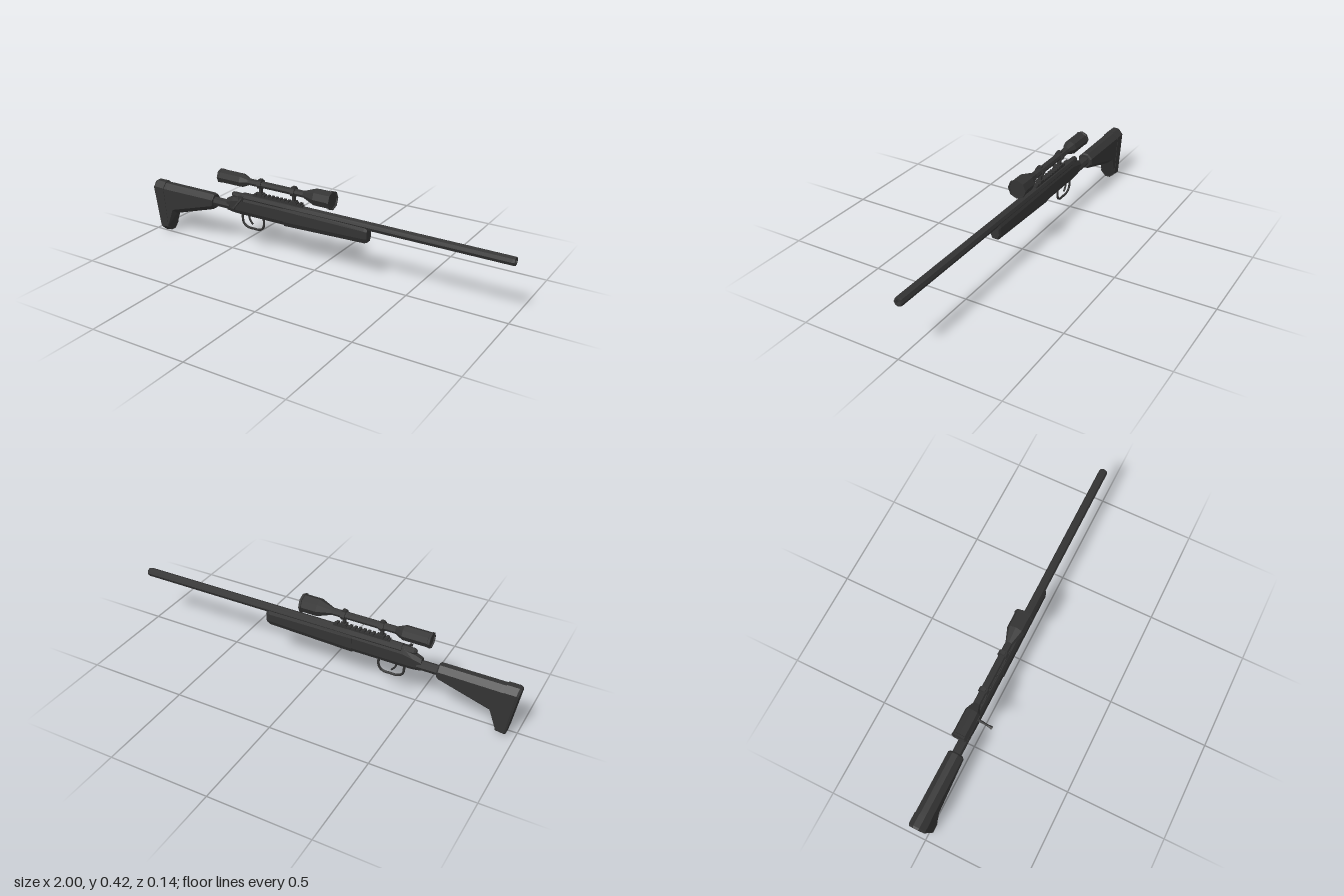
import * as THREE from 'three';

const ZC = -0.022; // the centre plane; only the bolt handle leaves it

// Skin a run of equal-length loops ordered along +x, with both ends capped.
function loft(rings) {
  const pos = [];
  const tri = (...pts) => pts.forEach((p) => pos.push(p[0], p[1], p[2]));
  const n = rings[0].length;
  for (let i = 0; i < rings.length - 1; i++) {
    const r = rings[i], s = rings[i + 1];
    for (let j = 0; j < n; j++) {
      const k = (j + 1) % n;
      tri(r[j], r[k], s[k]);
      tri(r[j], s[k], s[j]);
    }
  }
  const first = rings[0], last = rings[rings.length - 1];
  for (let j = 1; j < n - 1; j++) {
    tri(first[0], first[j + 1], first[j]);
    tri(last[0], last[j], last[j + 1]);
  }
  const g = new THREE.BufferGeometry();
  g.setAttribute('position', new THREE.Float32BufferAttribute(pos, 3));
  g.computeVertexNormals();
  return g;
}

// Chamfered section between a top and a bottom point, which may lean in x.
function section([tx, ty], [bx, by], w, topFlat, botFlat, topCh, botCh) {
  const len = Math.hypot(tx - bx, ty - by);
  const at = (t, z) => [tx + (bx - tx) * t, ty + (by - ty) * t, z];
  const a = topCh / len, b = 1 - botCh / len;
  return [at(0, topFlat), at(a, w), at(b, w), at(1, botFlat),
    at(1, -botFlat), at(b, -w), at(a, -w), at(0, -topFlat)];
}

// Turned eight-sided part along x from [x, radius] pairs.
function turned(y, profile) {
  return loft(profile.map(([x, r]) => Array.from({ length: 8 }, (_, i) => {
    const a = (i * Math.PI) / 4;
    return [x, y + r * Math.cos(a), r * Math.sin(a)];
  })));
}

export function createModel() {
  const black = new THREE.MeshStandardMaterial({ color: 0x333333 });
  black.name = 'matte black';
  const model = new THREE.Group();
  model.name = 'rifle';
  const body = new THREE.Group();
  body.name = 'body';
  body.position.z = ZC;
  model.add(body);

  const add = (name, geo, x = 0, y = 0, z = 0) => {
    const m = new THREE.Mesh(geo, black);
    m.name = name;
    m.position.set(x, y, z);
    body.add(m);
    return m;
  };
  const box = (name, w, h, d, x, y, z = 0) => add(name, new THREE.BoxGeometry(w, h, d), x, y, z);

  // Shoulder stock
  add('buttPad', loft([
    section([-1, 0.268], [-0.957, 0.008], 0.038, 0.013, 0.012, 0.025, 0.025),
    section([-0.99, 0.275], [-0.95, 0.002], 0.042, 0.015, 0.014, 0.027, 0.027),
    section([-0.932, 0.275], [-0.908, 0.008], 0.042, 0.015, 0.014, 0.027, 0.027),
  ]));
  add('stock', loft([
    section([-0.935, 0.27], [-0.909, 0.012], 0.04, 0.014, 0.013, 0.026, 0.026),
    section([-0.915, 0.27], [-0.868, 0.112], 0.04, 0.014, 0.013, 0.026, 0.026),
    section([-0.62, 0.27], [-0.62, 0.188], 0.038, 0.014, 0.013, 0.024, 0.024),
    section([-0.612, 0.264], [-0.612, 0.194], 0.033, 0.012, 0.011, 0.022, 0.022),
  ]));
  add('stockTube', turned(0.23, [[-0.63, 0.024], [-0.51, 0.024]]));

  // Receiver and fore-end
  add('receiver', loft([
    section([-0.53, 0.268], [-0.53, 0.205], 0.019, 0.01, 0.01, 0.018, 0.018),
    section([-0.49, 0.285], [-0.49, 0.2], 0.023, 0.012, 0.012, 0.022, 0.02),
    section([-0.44, 0.3], [-0.44, 0.199], 0.024, 0.014, 0.013, 0.026, 0.022),
    section([-0.18, 0.302], [-0.18, 0.199], 0.024, 0.014, 0.013, 0.026, 0.022),
  ]));
  add('foreEnd', loft([
    section([-0.18, 0.304], [-0.18, 0.194], 0.026, 0.016, 0.014, 0.028, 0.025),
    section([0.27, 0.296], [0.27, 0.208], 0.026, 0.016, 0.014, 0.025, 0.025),
    section([0.285, 0.288], [0.285, 0.215], 0.022, 0.014, 0.012, 0.02, 0.02),
  ]));
  add('receiverTop', turned(0.293, [[-0.43, 0.022], [-0.16, 0.023], [-0.1, 0.022]]));

  // Barrel with a hollow muzzle
  add('barrel', turned(0.293, [[-0.15, 0.022], [0.99, 0.022], [1, 0.02], [1, 0.011], [0.97, 0.011]]));

  // Bolt and its handle
  add('bolt', turned(0.293, [[-0.5, 0.01], [-0.49, 0.016], [-0.42, 0.016]]));
  box('boltRoot', 0.028, 0.026, 0.024, -0.435, 0.287, 0.014);
  const from = new THREE.Vector3(-0.435, 0.286, 0.016);
  const to = new THREE.Vector3(-0.435, 0.253, 0.093);
  const dir = to.clone().sub(from);
  const rod = (name, a, b, r0, r1) => {
    const p = from.clone().addScaledVector(dir, a), q = from.clone().addScaledVector(dir, b);
    const g = new THREE.CylinderGeometry(r1, r0, p.distanceTo(q), 6).toNonIndexed();
    g.computeVertexNormals();
    const m = add(name, g);
    m.position.copy(p).lerp(q, 0.5);
    m.quaternion.setFromUnitVectors(new THREE.Vector3(0, 1, 0), dir.clone().normalize());
  };
  rod('boltHandle', 0, 0.8, 0.007, 0.005);
  rod('boltKnob', 0.75, 1, 0.006, 0.009);

  // Trigger and guard
  const guard = new THREE.CatmullRomCurve3([
    [-0.444, 0.205], [-0.437, 0.15], [-0.412, 0.132], [-0.375, 0.13],
    [-0.335, 0.132], [-0.315, 0.152], [-0.312, 0.205],
  ].map(([x, y]) => new THREE.Vector3(x, y, 0)));
  add('triggerGuard', new THREE.TubeGeometry(guard, 24, 0.006, 6));
  const trigger = new THREE.CatmullRomCurve3([
    [-0.405, 0.205], [-0.398, 0.175], [-0.38, 0.152],
  ].map(([x, y]) => new THREE.Vector3(x, y, 0)));
  add('trigger', new THREE.TubeGeometry(trigger, 6, 0.005, 6));

  // Toothed sight rail
  box('rail', 0.29, 0.012, 0.022, -0.222, 0.315);
  for (let i = 0; i < 12; i++) {
    box('railTooth', 0.013, 0.009, 0.027, -0.352 + i * 0.0236, 0.324);
  }

  // Scope, with shallow recesses at both ends
  const Y = 0.379;
  add('scope', turned(Y, [
    [-0.564, 0.033], [-0.57, 0.033], [-0.57, 0.038], [-0.56, 0.038], [-0.558, 0.036],
    [-0.435, 0.036], [-0.395, 0.018], [-0.07, 0.018], [0, 0.044], [0.078, 0.044],
    [0.08, 0.048], [0.09, 0.048], [0.09, 0.042], [0.084, 0.042],
  ]));
  for (const x of [-0.325, -0.13]) {
    box('mountFoot', 0.028, 0.014, 0.03, x, 0.326);
    box('mountPost', 0.013, 0.04, 0.018, x, 0.345);
    add('mountRing', turned(Y, [[x - 0.011, 0.025], [x + 0.011, 0.025]]));
    box('ringClamp', 0.018, 0.008, 0.022, x, 0.402);
  }
  return model;
}
